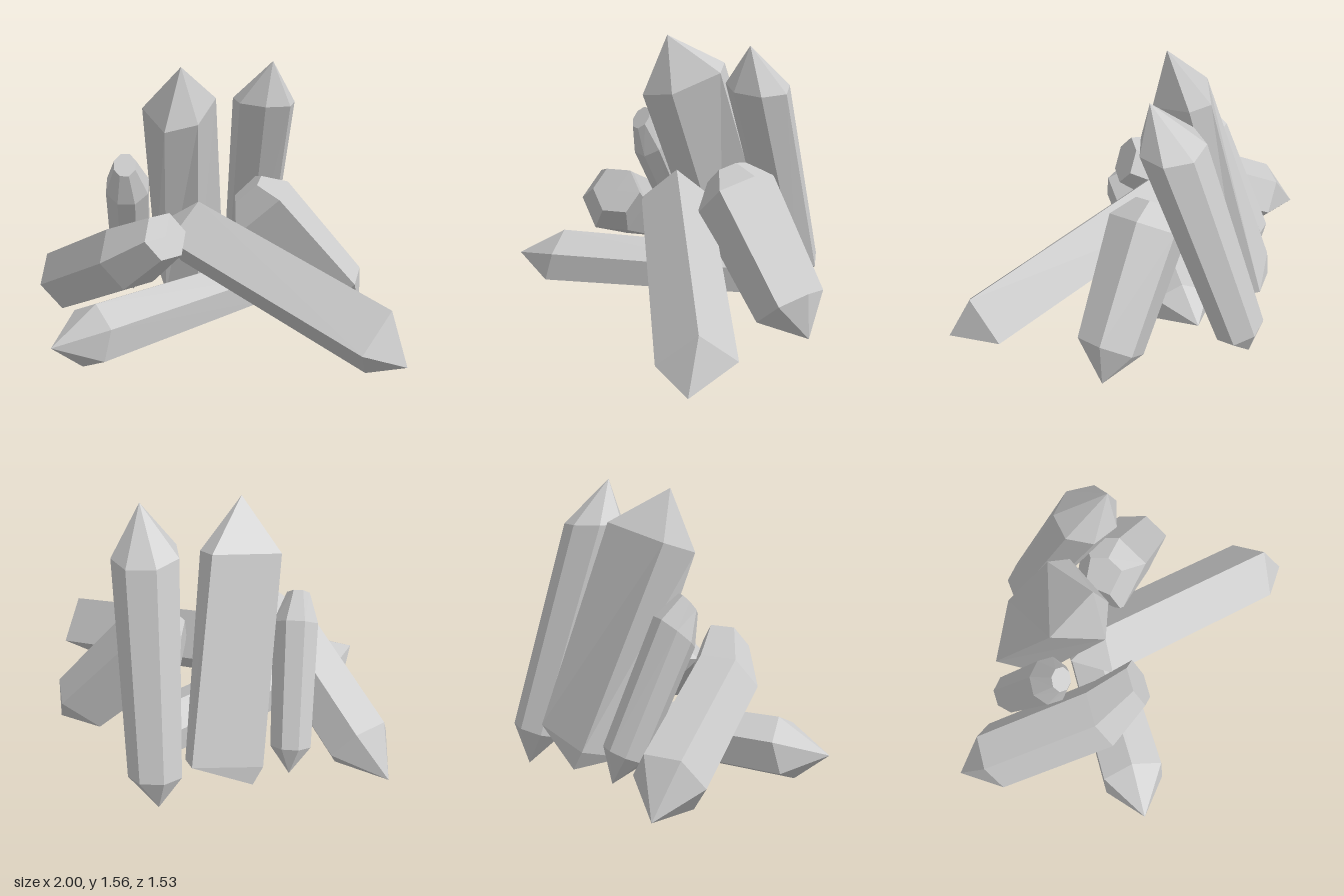
import * as THREE from 'three';

const UP = [0, 1, 0], FORWARD = [0, 0, 1];
const V = (p) => new THREE.Vector3(...p);

// Regular cross-section of radius 1, optionally turned and stretched
const polygon = (sides, spin = 0, sp = 1, sq = 1) => Array.from({ length: sides }, (_, j) => {
  const a = (j / sides) * Math.PI * 2 + spin;
  return [Math.cos(a) * sp, Math.sin(a) * sq];
});

// Rings are [x, y, z, scale, tilt, twist] from the lower to the upper end; scale 0 is a point.
// Rings 1 and 2 set the axis; the first corner coordinate points towards `ref`.
function crystalGeometry({ corners, ref, rings }) {
  const axis = V(rings[2]).sub(V(rings[1])).normalize();
  const u = V(ref).addScaledVector(axis, -V(ref).dot(axis)).normalize();
  const v = axis.clone().cross(u);
  const loops = rings.map(([x, y, z, scale, tilt = 0, twist = 0]) => corners.map(([p, q]) =>
    new THREE.Vector3()
      .addScaledVector(u, p * scale)
      .addScaledVector(v, q * scale)
      .addScaledVector(axis, p * scale * tilt)
      .applyAxisAngle(axis, twist)
      .add(new THREE.Vector3(x, y, z))));
  const points = [];
  for (let i = 0; i < rings.length - 1; i++) {
    for (let j = 0; j < corners.length; j++) {
      const k = (j + 1) % corners.length;
      const a = loops[i][j], b = loops[i][k], c = loops[i + 1][k], d = loops[i + 1][j];
      if (rings[i][3] > 0) points.push(a, b, c);
      if (rings[i + 1][3] > 0) points.push(a, c, d);
    }
  }
  const geometry = new THREE.BufferGeometry().setFromPoints(points);
  geometry.computeVertexNormals();
  return geometry;
}

const crystals = {
  // the two tall shards leaning forward
  tallCentreCrystal: {
    ref: FORWARD,
    corners: [[0.24, -0.08], [0.17, 0.1], [-0.105, 0.2], [-0.2, 0.13], [-0.02, -0.21]],
    rings: [[-0.27, 0.13, -0.61, 0], [-0.12, 0.22, -0.52, 1, 0, -0.22],
      [-0.15, 1.3, -0.12, 1], [-0.14, 1.55, 0, 0]],
  },
  tallLeftCrystal: {
    ref: FORWARD,
    corners: polygon(7, 0, 0.9, 1),
    rings: [[0.23, 0, -0.7, 0], [0.25, 0.18, -0.64, 0.15],
      [0.32, 1.32, -0.25, 0.18, 0.32], [0.36, 1.56, -0.15, 0]],
  },
  // small blunt shard with a slanted end
  smallCrystal: {
    ref: FORWARD,
    corners: polygon(8, Math.PI / 8),
    rings: [[-0.46, 0.1, -0.47, 0], [-0.46, 0.25, -0.4, 0.118],
      [-0.45, 0.86, -0.12, 0.128, -0.3], [-0.455, 1, -0.045, 0.065, -0.5],
      [-0.455, 1, -0.045, 0]],
  },
  // shards resting around the base
  lowFrontCrystal: {
    ref: UP,
    corners: polygon(6, 0, 1, 1.2),
    rings: [[-0.8, 0.2, 0.61, 0], [-0.62, 0.205, 0.46, 0.165, 0.3],
      [0.27, 0.22, -0.3, 0.145], [0.4, 0.24, -0.46, 0]],
  },
  rightLeaningCrystal: {
    ref: UP,
    corners: polygon(6, Math.PI / 6),
    rings: [[-1, 0.12, -0.49, 0], [-0.835, 0.23, -0.325, 0.195],
      [-0.42, 0.55, 0.18, 0.195], [-0.22, 0.7, 0.3, 0.135], [-0.22, 0.7, 0.3, 0]],
  },
  frontLeaningCrystal: {
    ref: UP,
    corners: polygon(4),
    rings: [[1, 0.165, 0.757, 0], [0.877, 0.233, 0.605, 0.2],
      [-0.1, 0.622, -0.025, 0.195], [-0.25, 0.66, -0.1, 0]],
  },
  leftLeaningCrystal: {
    ref: UP,
    corners: [[0.23, 0], [0.15, 0.19], [-0.17, 0.15], [-0.17, -0.15], [0.15, -0.19]],
    rings: [[0.89, 0.11, -0.13, 0], [0.74, 0.24, -0.12, 0.84],
      [0.285, 0.73, -0.12, 1], [0.22, 0.84, -0.12, 0.5], [0.22, 0.84, -0.12, 0]],
  },
};

export function createModel() {
  const group = new THREE.Group();
  group.name = 'crystalCluster';
  const material = new THREE.MeshStandardMaterial({ color: 0xcccccc, flatShading: true });
  for (const [name, spec] of Object.entries(crystals)) {
    const mesh = new THREE.Mesh(crystalGeometry(spec), material);
    mesh.name = name;
    group.add(mesh);
  }
  return group;
}
